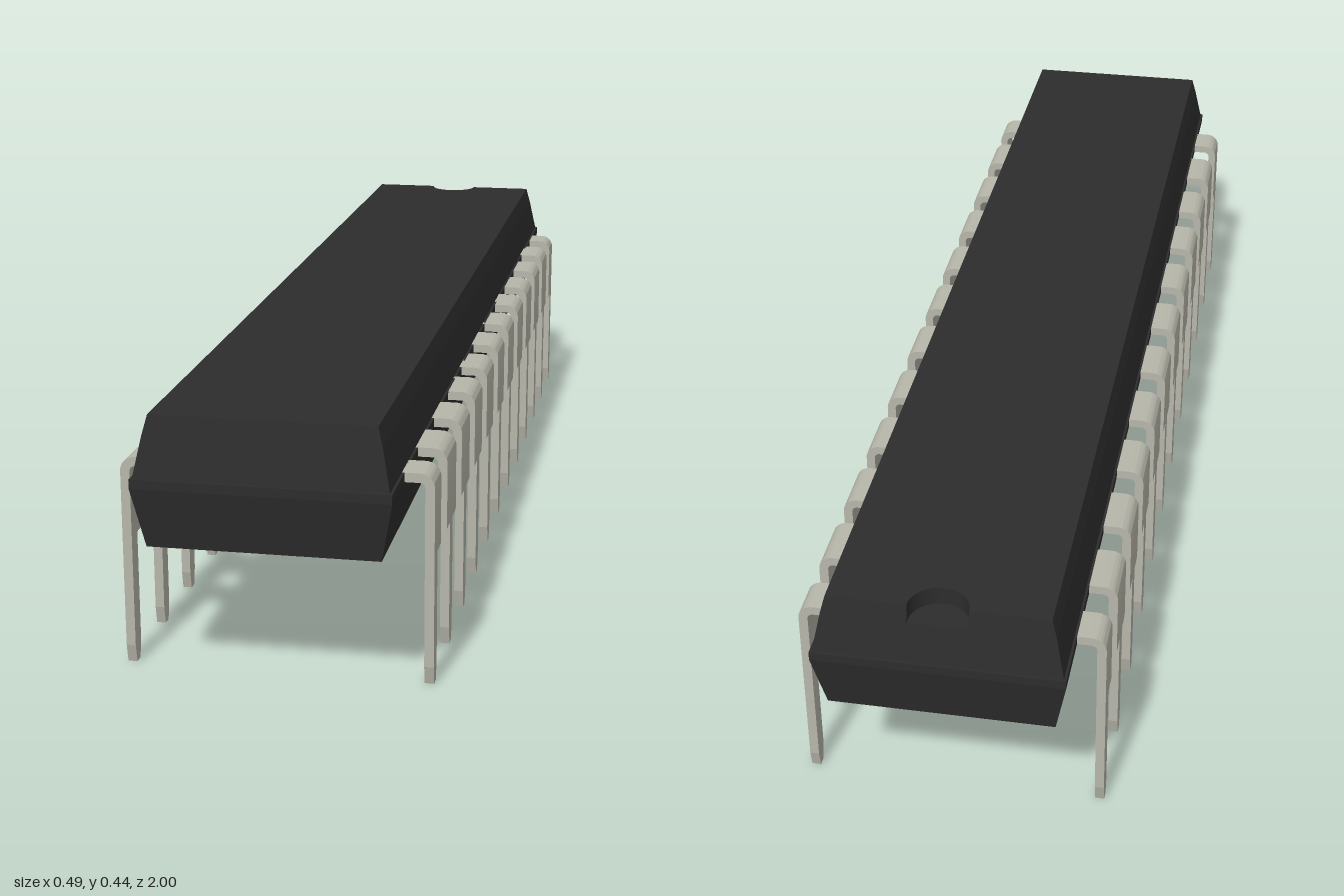
import * as THREE from 'three';
import { toCreasedNormals } from 'three/addons/utils/BufferGeometryUtils.js';

const T = 0.015;          // pin sheet thickness
const OUT = 0.247;        // outer face of the pins
const PIN_TOP = 0.345, SHOULDER = 0.212;

// Rectangular frustum between two levels, each given as [y, half x, half z]
function frustum(lo, hi) {
  const geo = new THREE.BoxGeometry(2, 2, 2).toNonIndexed();
  const p = geo.attributes.position;
  for (let i = 0; i < p.count; i++) {
    const [y, hx, hz] = p.getY(i) > 0 ? hi : lo;
    p.setXYZ(i, p.getX(i) * hx, y, p.getZ(i) * hz);
  }
  geo.computeVertexNormals();
  return geo;
}

// Top slab with a half-round notch at the back, sides sloping outward below
function notchedSlab(lo, hi, radius) {
  const [y0, lx, lz] = lo, [y1, hx, hz] = hi;
  const s = new THREE.Shape();
  s.moveTo(-hx, -hz);
  s.lineTo(hx, -hz);
  s.lineTo(hx, hz);
  s.lineTo(radius, hz);
  s.absarc(0, hz, radius, 0, -Math.PI, true);
  s.lineTo(-hx, hz);
  s.closePath();
  const geo = new THREE.ExtrudeGeometry(s, { depth: y1 - y0, bevelEnabled: false, curveSegments: 16 });
  geo.rotateX(-Math.PI / 2).translate(0, y0, 0);
  const p = geo.attributes.position;
  for (let i = 0; i < p.count; i++) {
    if (p.getY(i) > (y0 + y1) / 2) continue;
    const x = p.getX(i), z = p.getZ(i);
    if (Math.abs(x) > radius * 1.5) p.setX(i, Math.sign(x) * lx);
    if (Math.abs(z) > hz - 0.0005) p.setZ(i, Math.sign(z) * lz);
  }
  geo.computeVertexNormals();
  return geo;
}

// Bent strap leaving the body and turning down, spanning z0 to z1
function strap(z0, z1) {
  const ro = 0.024, ri = ro - T, cx = OUT - ro, cy = PIN_TOP - ro;
  const s = new THREE.Shape();
  s.moveTo(0.185, PIN_TOP - T);
  s.lineTo(cx, PIN_TOP - T);
  s.absarc(cx, cy, ri, Math.PI / 2, 0, true);
  s.lineTo(OUT - T, SHOULDER);
  s.lineTo(OUT, SHOULDER);
  s.lineTo(OUT, cy);
  s.absarc(cx, cy, ro, 0, Math.PI / 2, false);
  s.lineTo(0.185, PIN_TOP);
  s.closePath();
  const geo = new THREE.ExtrudeGeometry(s, { depth: z1 - z0, bevelEnabled: false, curveSegments: 8 });
  geo.translate(0, 0, z0);
  return toCreasedNormals(geo, 0.6);
}

// Narrow leg with a tapered tip
function leg() {
  const w = 0.0145, tip = 0.008;
  const s = new THREE.Shape();
  [[-tip, 0], [tip, 0], [w, 0.03], [w, SHOULDER], [-w, SHOULDER], [-w, 0.03]]
    .forEach(([x, y], i) => (i ? s.lineTo(x, y) : s.moveTo(x, y)));
  s.closePath();
  const geo = new THREE.ExtrudeGeometry(s, { depth: T, bevelEnabled: false });
  return geo.rotateY(Math.PI / 2).translate(OUT - T, 0, 0);
}

export function createModel() {
  const model = new THREE.Group();
  model.name = 'chipPackage';
  const plastic = new THREE.MeshStandardMaterial({ color: 0x2d2d2d });
  plastic.name = 'black plastic';
  const metal = new THREE.MeshStandardMaterial({ color: 0xb8b7ab });
  metal.name = 'tinned metal';

  const add = (parent, name, geo, mat) => {
    const mesh = new THREE.Mesh(geo, mat);
    mesh.name = name;
    parent.add(mesh);
  };

  // Moulded body
  const body = new THREE.Group();
  body.name = 'body';
  model.add(body);
  const shelf = [0.41, 0.183, 0.982];
  add(body, 'lowerBody', frustum([0.233, 0.181, 0.981], [0.33, 0.2, 1]), plastic);
  add(body, 'waistBand', frustum([0.33, 0.2, 1], [0.345, 0.2, 1]), plastic);
  add(body, 'upperBody', frustum([0.345, 0.196, 0.996], shelf), plastic);
  add(body, 'notchedTop', notchedSlab(shelf, [0.441, 0.175, 0.976], 0.048), plastic);

  // Two rows of twelve pins; the end pins have only the inner shoulder
  const half = 0.048, narrow = 0.0145;
  const legGeo = leg();
  const straps = {
    middle: strap(-half, half),
    front: strap(-half, narrow),
    back: strap(-narrow, half),
  };
  for (const side of ['left', 'right']) {
    const row = new THREE.Group();
    row.name = side + 'PinRow';
    if (side === 'right') row.rotation.y = Math.PI;
    for (let i = 0; i < 12; i++) {
      const pin = new THREE.Group();
      pin.name = 'pin' + (i + 1);
      pin.position.z = -0.88 + i * 0.16;
      add(pin, 'pinShoulder', i === 0 ? straps.back : i === 11 ? straps.front : straps.middle, metal);
      add(pin, 'pinLeg', legGeo, metal);
      row.add(pin);
    }
    model.add(row);
  }
  return model;
}
